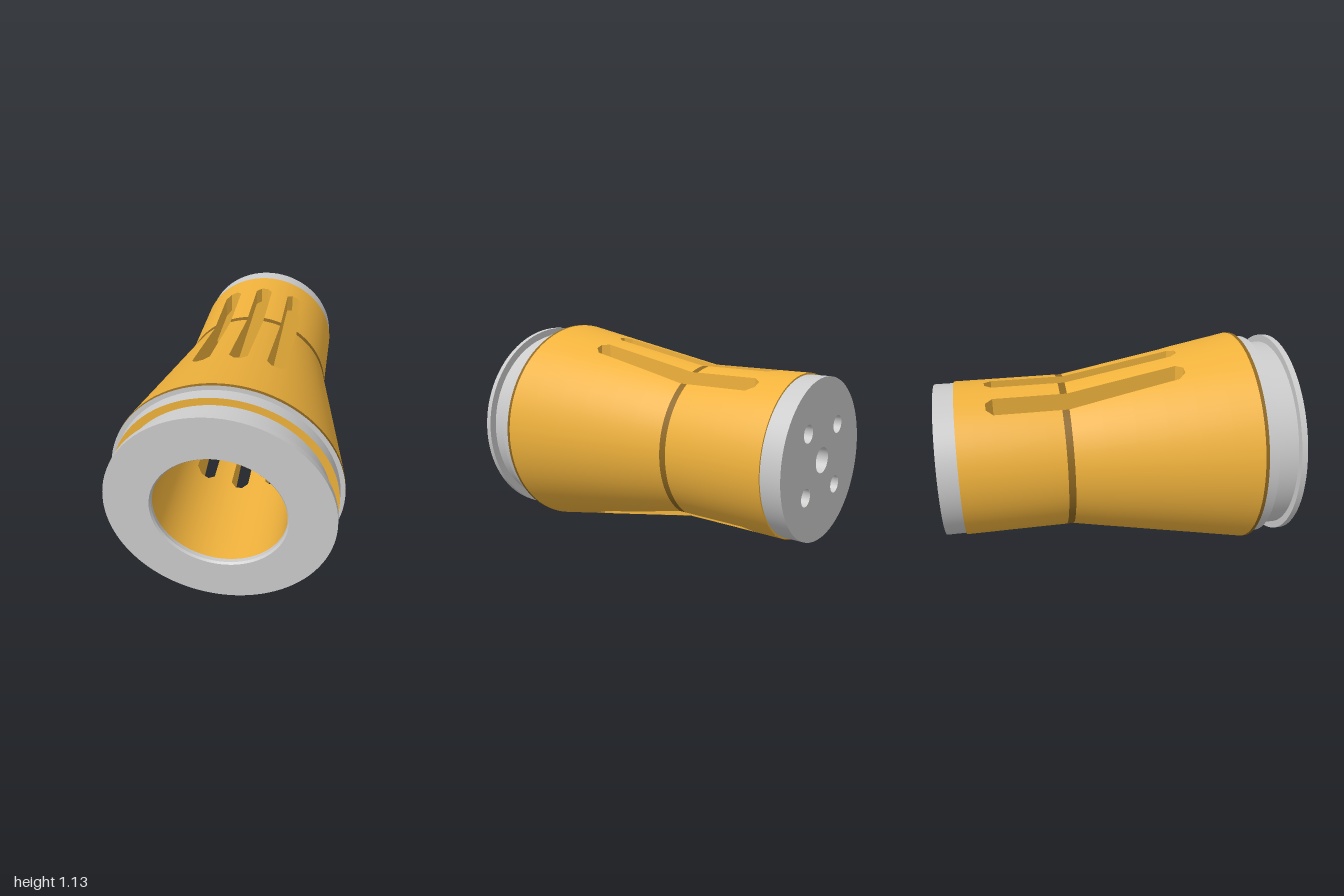
import * as THREE from 'three';
import { mergeGeometries } from 'three/addons/utils/BufferGeometryUtils.js';
import { ParametricGeometry } from 'three/addons/geometries/ParametricGeometry.js';

const grey = new THREE.MeshStandardMaterial({ color: 0xcccccc, side: THREE.DoubleSide });
const amber = new THREE.MeshStandardMaterial({ color: 0xf0b23c, side: THREE.DoubleSide });
const darkAmber = new THREE.MeshStandardMaterial({ color: 0x8f6822, side: THREE.DoubleSide });

// Local frame: z runs along the barrel from the wide end, x is across, y is up.
const BORE = 0.315, KINK0 = 1.13, KINK1 = 1.165, BACK = 1.68, END = 1.78, FLOOR = 1.6;
const lerp = THREE.MathUtils.lerp;
const outerR = z => z < 0.225 ? 0.563 : z < KINK0 ? lerp(0.563, 0.398, (z - 0.225) / (KINK0 - 0.225)) : 0.398;
const boreR = () => BORE;

// Slots: three on top and three below, with tapered ends
const SLOT_X = [-0.184, 0, 0.184], W = 0.045, TIP = 0.018, CUT = 0.035, S0 = 0.545, S1 = 1.53;
const REACH = 0.184 + W;
const inset = d => CUT * Math.max(0, (Math.abs(d) - TIP) / (W - TIP));

// Crisp-edged turned surface: every profile segment gets its own normals
function turned(points, segments = 96) {
  const parts = [];
  for (let i = 0; i + 1 < points.length; i++) {
    const pair = [points[i], points[i + 1]].map(p => new THREE.Vector2(p[0], p[1]));
    parts.push(new THREE.LatheGeometry(pair, segments).rotateX(Math.PI / 2));
  }
  return mergeGeometries(parts);
}

// Strip of the top between two x positions; z limits may depend on x
function topStrip(R, inward, x0, x1, zFrom, zTo, n) {
  return new ParametricGeometry((u, v, p) => {
    const x = inward ? lerp(x1, x0, v) : lerp(x0, x1, v);
    const z = lerp(zFrom(x), zTo(x), u), r = R(z);
    p.set(x, Math.sqrt(r * r - x * x), z);
  }, 4, n);
}

// Unslotted side of the wall
function sideStrip(R, inward, z0, z1) {
  return new ParametricGeometry((u, v, p) => {
    const z = lerp(z0, z1, u), r = R(z), a = Math.asin(REACH / r);
    const t = lerp(a, Math.PI - a, inward ? 1 - v : v);
    p.set(r * Math.sin(t), r * Math.cos(t), z);
  }, 6, 36);
}

// Repeat half a wall on the opposite side
function bothHalves(parts) {
  const half = mergeGeometries(parts);
  return mergeGeometries([half, half.clone().rotateZ(Math.PI)]);
}

// Solid stretches of wall between two z positions
function solidParts(R, inward, z0, z1) {
  const parts = [sideStrip(R, inward, z0, z1)];
  for (let i = 0; i < 2; i++)
    parts.push(topStrip(R, inward, SLOT_X[i] + W, SLOT_X[i + 1] - W, () => z0, () => z1, 6));
  return parts;
}

// Wall in front of and behind each slot
function slotEnds(R, inward, z0, z1) {
  const parts = [], cuts = [-W, -TIP, TIP, W];
  for (const c of SLOT_X) for (let i = 0; i < 3; i++) {
    const a = c + cuts[i], b = c + cuts[i + 1];
    parts.push(topStrip(R, inward, a, b, () => z0, x => S0 + inset(x - c), 2));
    parts.push(topStrip(R, inward, a, b, x => S1 - inset(x - c), () => z1, 2));
  }
  return parts;
}

// Cut faces running from the bore to the outside around every slot
function slotWalls() {
  const parts = [], a = S0 + CUT, b = S1 - CUT;
  const side = [[TIP, S0], [W, a], [W, KINK0], [W, KINK1], [W, b], [TIP, S1]];
  const loop = [...side, ...side.map(([x, z]) => [-x, z]).reverse()];
  for (const c of SLOT_X) loop.forEach((p0, i) => {
    const p1 = loop[(i + 1) % loop.length];
    parts.push(new ParametricGeometry((u, v, p) => {
      const x = c + lerp(p0[0], p1[0], u), z = lerp(p0[1], p1[1], u), r = outerR(z);
      p.set(x, lerp(Math.sqrt(BORE * BORE - x * x), Math.sqrt(r * r - x * x), v), z);
    }, 2, 1));
  });
  return parts;
}

export function createModel() {
  const model = new THREE.Group();
  const barrel = new THREE.Group();
  barrel.name = 'barrel';
  barrel.position.set(-0.69, 0.565, 0.445);
  barrel.rotation.y = THREE.MathUtils.degToRad(125);
  model.add(barrel);
  const add = (name, geometry, material) => {
    const mesh = new THREE.Mesh(geometry, material);
    mesh.name = name;
    barrel.add(mesh);
  };

  // Slotted tapering sleeve
  add('slottedSleeve', bothHalves([
    ...solidParts(outerR, false, 0.225, KINK0),
    ...solidParts(outerR, false, KINK1, BACK),
    ...slotEnds(outerR, false, 0.225, BACK),
  ]), amber);
  add('slotWalls', bothHalves(slotWalls()), amber);
  add('bore', bothHalves([
    ...solidParts(boreR, true, 0.03, FLOOR),
    ...slotEnds(boreR, true, 0.03, FLOOR),
  ]), amber);
  add('boreFloor', turned([[0.062, BACK], [0.062, FLOOR], [BORE, FLOOR]]), amber);
  add('sleeveBackFace', turned([[0.398, BACK], [0.385, BACK]]), amber);

  // Darker bands at the bend and the wide rim
  add('bendBand', bothHalves(solidParts(outerR, false, KINK0, KINK1)), darkAmber);
  add('rimBand', turned([[0.563, 0.207], [0.563, 0.225]]), darkAmber);

  // Wide end: flange, neck and shoulder ring
  add('frontFlange', turned([[BORE, 0.03], [BORE, 0.01], [0.323, 0], [0.54, 0], [0.54, 0.03], [0.503, 0.03], [0.503, 0.145]]), grey);
  add('shoulderFace', turned([[0.503, 0.145], [0.54, 0.145]]), amber);
  add('shoulderRing', turned([[0.54, 0.145], [0.54, 0.207], [0.563, 0.207]]), grey);

  // Narrow end: cap with a central through hole and four blind holes
  const face = new THREE.Shape().absarc(0, 0, 0.39, 0, Math.PI * 2);
  const hole = (x, y, r) => face.holes.push(new THREE.Path().absarc(x, y, r, 0, Math.PI * 2, true));
  hole(0, 0, 0.062);
  for (const x of [-0.148, 0.148]) for (const y of [-0.148, 0.148]) {
    hole(x, y, 0.043);
    add('blindHole', turned([[0.043, END], [0.043, 1.69], [0, 1.69]], 32).translate(x, y, 0), grey);
  }
  add('endCapFace', new THREE.ShapeGeometry(face, 48).translate(0, 0, END), grey);
  add('endCapRim', turned([[0.39, BACK], [0.39, END]]), grey);
  add('centreHole', turned([[0.062, END], [0.062, BACK]], 48), grey);

  return model;
}
